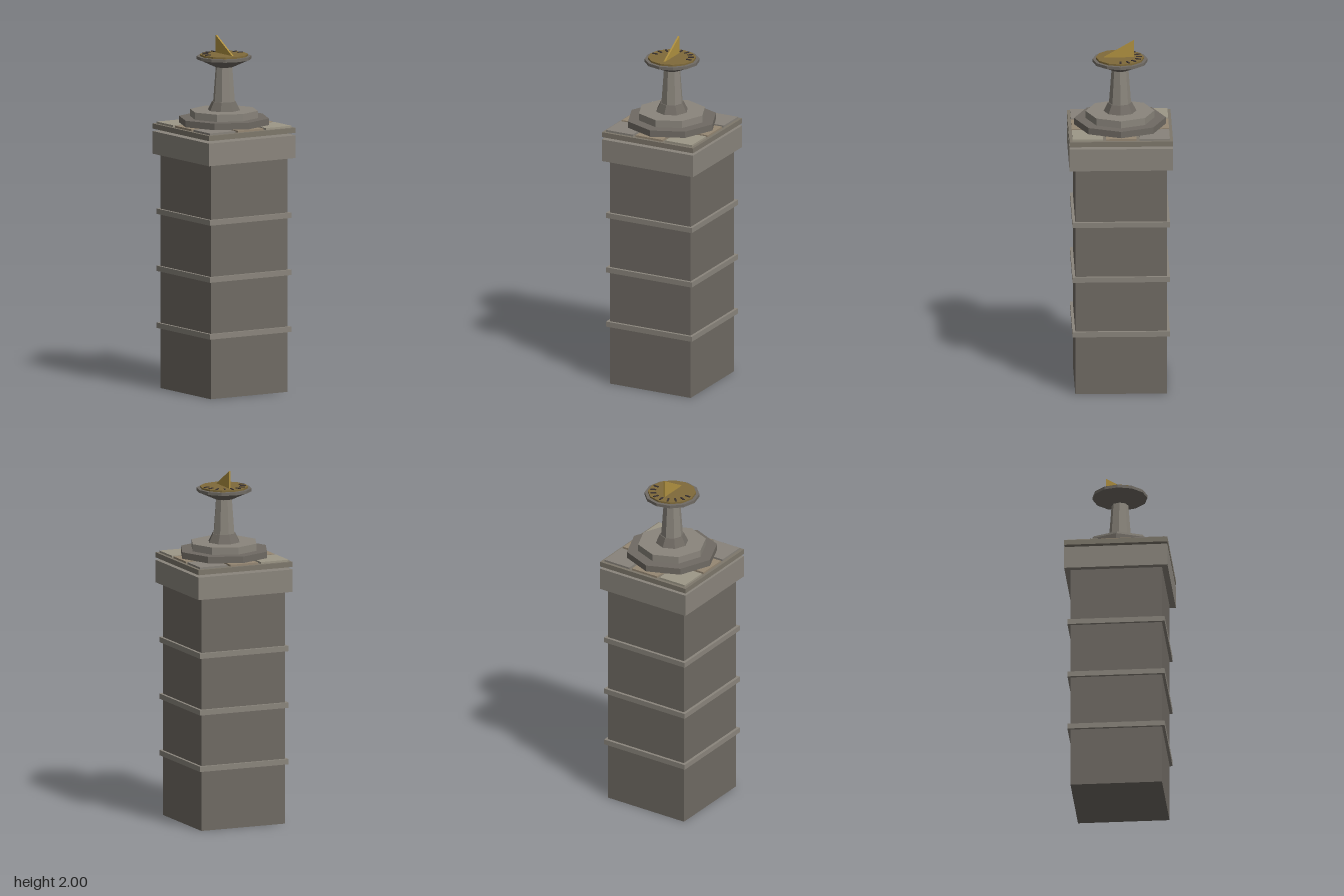
import * as THREE from 'three';

const mat = (color) => new THREE.MeshStandardMaterial({ color, flatShading: true });
const STONE = mat(0x6f6a63), TRIM = mat(0x8a857c), GROUT = mat(0x7d776b);
const LIGHT = mat(0x9d9787), GREY = mat(0x88837b), TAN = mat(0x958773);
const BRONZE = mat(0x7f6a3a), GOLD = mat(0xb09140), DARK = mat(0x3a3230);

export function createModel() {
  const model = new THREE.Group();

  const add = (name, geometry, material, parent = model) => {
    const mesh = new THREE.Mesh(geometry, material);
    mesh.name = name;
    parent.add(mesh);
    return mesh;
  };
  // Square block spanning y0..y1
  const block = (name, width, y0, y1, material, parent) => {
    const mesh = add(name, new THREE.BoxGeometry(width, y1 - y0, width), material, parent);
    mesh.position.y = (y0 + y1) / 2;
    return mesh;
  };
  // Faceted drum or frustum spanning y0..y1
  const drum = (name, r0, r1, y0, y1, sides, material) => {
    const mesh = add(name, new THREE.CylinderGeometry(r1, r0, y1 - y0, sides), material);
    mesh.position.y = (y0 + y1) / 2;
    return mesh;
  };

  // Tall square pillar with raised bands and a cap
  block('pillar', 0.514, 0, 1.33, STONE);
  [0.355, 0.677, 1.0].forEach((y) => block('pillarBand', 0.546, y - 0.015, y + 0.015, TRIM));
  block('pillarCap', 0.58, 1.325, 1.453, TRIM);

  // Paved terrace, set just above the cap
  block('terraceSlab', 0.58, 1.467, 1.496, GROUT);
  const paving = new THREE.Group();
  paving.name = 'paving';
  model.add(paving);
  const pattern = [[LIGHT, TAN, GREY], [TAN, GREY, TAN], [GREY, TAN, LIGHT]];
  pattern.forEach((row, j) => row.forEach((material, i) => {
    const tile = block('pavingTile', 0.17, 1.496, 1.507, material, paving);
    tile.position.x = (i - 1) * 0.1875;
    tile.position.z = (j - 1) * 0.1875;
  }));

  // Octagonal steps and pedestal
  drum('lowerStep', 0.257, 0.257, 1.507, 1.544, 8, STONE);
  drum('upperStep', 0.193, 0.193, 1.544, 1.585, 8, TRIM);
  drum('pedestalFoot', 0.092, 0.068, 1.585, 1.634, 8, STONE);
  drum('pedestalShaft', 0.062, 0.047, 1.634, 1.835, 8, TRIM);

  // Flared head and dial plate
  drum('pedestalHead', 0.053, 0.15, 1.83, 1.874, 12, STONE);
  drum('headRim', 0.154, 0.154, 1.874, 1.891, 12, STONE);
  drum('dialPlate', 0.135, 0.135, 1.891, 1.901, 12, BRONZE);

  // Hour marks around the back half of the dial
  const marks = new THREE.Group();
  marks.name = 'hourMarks';
  model.add(marks);
  for (let i = 0; i <= 8; i++) {
    const a = (i * Math.PI) / 8;
    const mark = add('hourMark', new THREE.BoxGeometry(0.033, 0.006, 0.01), DARK, marks);
    mark.position.set(Math.cos(a) * 0.107, 1.902, -Math.sin(a) * 0.107);
    mark.rotation.y = a;
  }

  // Triangular gnomon, upright edge to the back
  const fin = new THREE.Shape();
  fin.moveTo(-0.078, 1.9);
  fin.lineTo(0.092, 1.9);
  fin.lineTo(-0.078, 2.0);
  fin.closePath();
  const gnomon = new THREE.ExtrudeGeometry(fin, { depth: 0.01, bevelEnabled: false });
  gnomon.translate(0, 0, -0.005);
  gnomon.rotateY(-Math.PI / 2);
  add('gnomon', gnomon, GOLD);

  return model;
}
